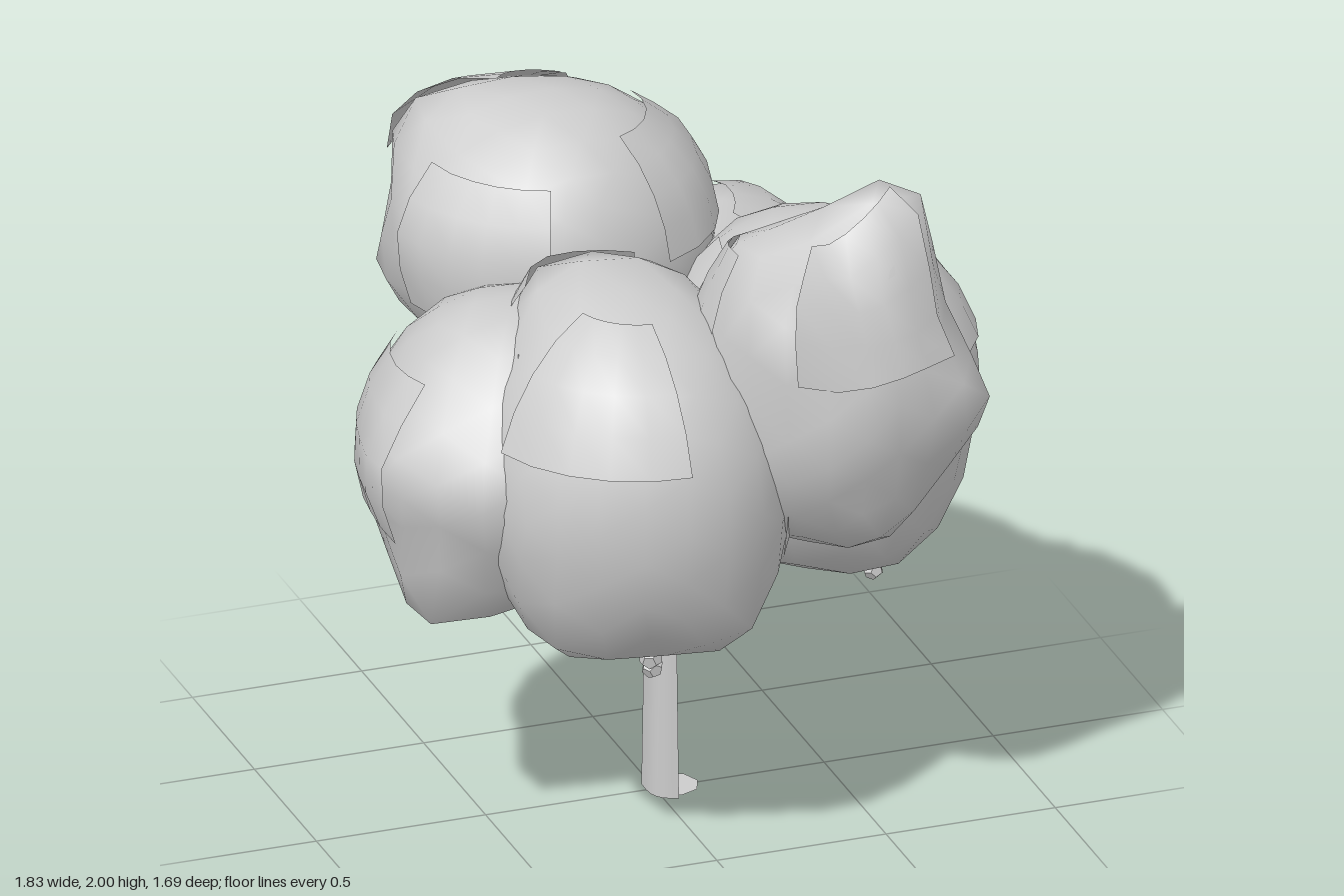
import * as THREE from 'three';
import { mergeVertices } from 'three/addons/utils/BufferGeometryUtils.js';

const grey = new THREE.MeshStandardMaterial({ color: 0xcccccc, side: THREE.DoubleSide });
const greyFlat = new THREE.MeshStandardMaterial({ color: 0xcccccc, flatShading: true });

function add(parent, name, geometry, material = grey) {
  const mesh = new THREE.Mesh(geometry, material);
  mesh.name = name;
  parent.add(mesh);
  return mesh;
}

// Weld a geometry by position so that its normals come out smooth
function weld(geometry) {
  geometry.deleteAttribute('uv');
  geometry.deleteAttribute('normal');
  const g = mergeVertices(geometry, 1e-4);
  g.computeVertexNormals();
  return g;
}

// Turn a unit sphere (or a piece of one) into lumpy foliage drawn out to corner points
function foliage(geometry, { center, radii, corners }, seed, scale = 1) {
  const mid = new THREE.Vector3(...center);
  const size = new THREE.Vector3(...radii);
  const pulls = corners.map((c) => {
    const offset = new THREE.Vector3(...c).sub(mid);
    const dir = offset.clone().divide(size).normalize();
    return { dir, move: offset.sub(dir.clone().multiply(size)) };
  });
  const p = geometry.attributes.position;
  const v = new THREE.Vector3();
  for (let i = 0; i < p.count; i++) {
    const dir = new THREE.Vector3().fromBufferAttribute(p, i).normalize();
    const lump = scale + 0.015 * Math.sin(4 * dir.x + seed) * Math.cos(3 * dir.y - seed);
    v.copy(dir).multiply(size).multiplyScalar(lump);
    for (const { dir: d, move } of pulls) {
      v.addScaledVector(move, Math.max(0, 1 - dir.angleTo(d) / 0.55));
    }
    p.setXYZ(i, mid.x + v.x, mid.y + v.y, mid.z + v.z);
  }
  return weld(geometry);
}

const crown = {
  frontRightLeaves: {
    center: [-0.2, 1.17, 0.34], radii: [0.46, 0.53, 0.49],
    corners: [
      [-0.36, 1.71, 0.08], [-0.06, 1.71, 0.1], [-0.62, 1.4, 0.3],
      [0.02, 0.74, 0.7], [-0.6, 1.1, 0.6], [-0.5, 0.74, 0.55],
    ],
  },
  frontLeftLeaves: {
    center: [0.33, 1.38, 0.42], radii: [0.4, 0.46, 0.39],
    corners: [
      [0.48, 1.97, 0.48], [0.75, 1.36, 0.67], [0.59, 1.88, 0.56],
      [0.26, 1.36, 0.85], [0.07, 1.77, 0.73], [0.1, 1.86, 0.42], [0.42, 1.0, 0.72],
    ],
  },
  leftLeaves: {
    center: [0.46, 1.18, 0.03], radii: [0.45, 0.52, 0.48],
    corners: [
      [0.83, 0.77, 0.08], [0.89, 1.32, 0.2], [0.6, 0.73, 0.35],
      [0.66, 1.34, 0.46], [0.5, 1.69, 0.2],
    ],
  },
  backLeftLeaves: {
    center: [0.17, 1.1, -0.38], radii: [0.53, 0.47, 0.44],
    corners: [
      [0.7, 1.37, -0.4], [0.5, 1.36, -0.8], [0.48, 0.94, -0.82],
      [0.15, 0.95, -0.84], [-0.28, 0.82, -0.6], [0.02, 0.66, -0.6], [0.45, 1.57, -0.5],
    ],
  },
  rightLeaves: {
    center: [-0.43, 1.17, 0.08], radii: [0.45, 0.45, 0.44],
    corners: [
      [-0.92, 1.21, 0.3], [-0.8, 0.74, 0.28], [-0.68, 1.2, 0.54],
      [-0.6, 1.6, 0.15], [-0.78, 1.15, -0.2], [-0.45, 0.78, -0.25],
    ],
  },
  topBackLeaves: {
    center: [-0.15, 1.57, -0.4], radii: [0.45, 0.42, 0.42],
    corners: [
      [-0.62, 1.7, -0.35], [-0.54, 1.88, -0.6], [-0.36, 1.96, -0.55],
      [-0.42, 1.75, -0.81], [0.08, 1.78, -0.81], [0.08, 1.38, -0.79],
      [-0.6, 1.42, -0.6], [0.29, 1.7, -0.6], [-0.36, 1.36, -0.78],
    ],
  },
};

// Loose layers over each ball: start angle, sweep, top angle, drop
const layers = [
  [0.3, 1.3, 0.35, 0.9], [2.4, 1.1, 0.9, 1.0], [4.3, 1.4, 0.6, 0.9],
];

// Hanging fruit: x, top y, z, number of berries
const fruit = [
  [-0.52, 0.72, -0.29, 3], [-0.2, 0.66, 0.5, 2],
  [0.28, 0.71, -0.59, 4], [0.59, 0.74, 0.19, 3],
];

export function createModel() {
  const tree = new THREE.Group();
  tree.name = 'tree';

  // Trunk: an open curved strip of bark, narrowing upward
  const arc = new THREE.CatmullRomCurve3([
    [-0.025, -0.04], [-0.023, 0.03], [0, 0.066], [0.04, 0.085],
  ].map(([x, z]) => new THREE.Vector3(x, 0, z)));
  const bark = new THREE.PlaneGeometry(1, 1, 6, 1);
  const p = bark.attributes.position;
  for (let i = 0; i < p.count; i++) {
    const h = p.getY(i) + 0.5;
    const q = arc.getPoint(p.getX(i) + 0.5);
    const k = 1 - 0.25 * h;
    p.setXYZ(i, 0.015 + (q.x - 0.015) * k, h * 0.95, 0.02 + (q.z - 0.02) * k);
  }
  bark.computeVertexNormals();
  add(tree, 'trunk', bark);

  // Flat foot of the trunk
  const foot = add(tree, 'trunkBase', new THREE.CircleGeometry(0.077, 8));
  foot.rotation.x = -Math.PI / 2;
  foot.position.set(0.053, 0.001, -0.008);

  // Crown of leaf balls, each with overlapping loose layers
  Object.entries(crown).forEach(([name, shape], n) => {
    const cluster = new THREE.Group();
    cluster.name = name;
    add(cluster, 'leafBall', foliage(new THREE.IcosahedronGeometry(1, 3), shape, n * 1.7));
    for (const [start, sweep, top, drop] of layers) {
      const piece = new THREE.SphereGeometry(1, 5, 4, start + n * 0.8, sweep, top, drop);
      add(cluster, 'leafLayer', foliage(piece, shape, n * 1.7, 1.025));
    }
    tree.add(cluster);
  });

  // Fruit strings under the crown
  for (const [x, y, z, count] of fruit) {
    const string = new THREE.Group();
    string.name = 'fruitString';
    string.position.set(x, y, z);
    for (let i = 0; i < count; i++) {
      const berry = add(string, 'berry', new THREE.DodecahedronGeometry(0.034 - 0.002 * i), greyFlat);
      berry.position.set(0.014 * Math.sin(i * 2.1), -0.04 * i, 0.014 * Math.cos(i * 2.1));
      berry.rotation.set(i, i * 0.7, 0.4);
    }
    tree.add(string);
  }
  return tree;
}
